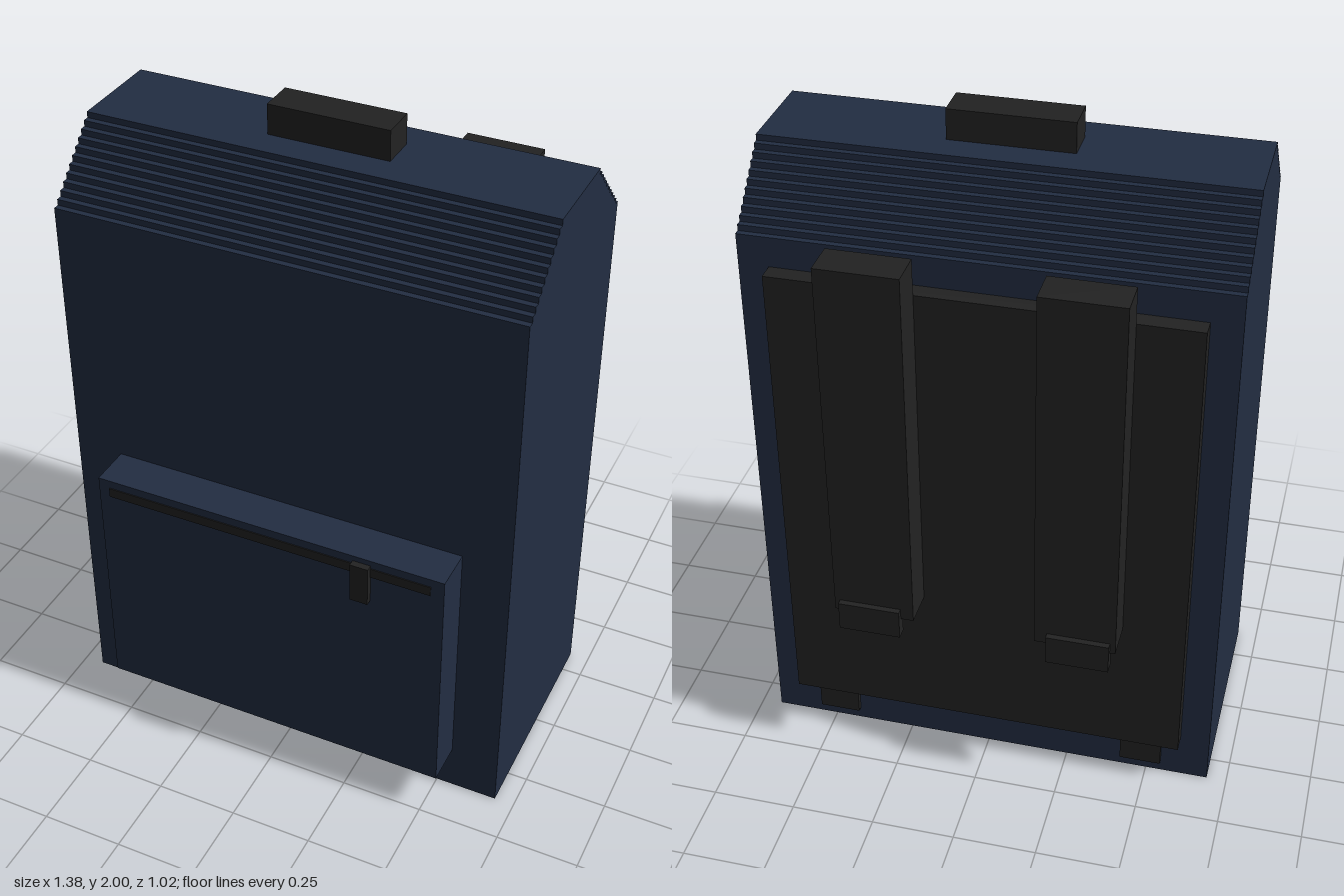
import * as THREE from 'three';

export function createModel() {
  const model = new THREE.Group();
  model.name = 'backpack';

  const fabric = new THREE.MeshStandardMaterial({ color: 0x222d42 });
  fabric.name = 'navy fabric';
  const trim = new THREE.MeshStandardMaterial({ color: 0x222222 });
  trim.name = 'black trim';

  // Box given by its limits on each axis
  function box(name, material, [x0, x1], [y0, y1], [z0, z1]) {
    const mesh = new THREE.Mesh(new THREE.BoxGeometry(x1 - x0, y1 - y0, z1 - z0), material);
    mesh.position.set((x0 + x1) / 2, (y0 + y1) / 2, (z0 + z1) / 2);
    mesh.name = name;
    model.add(mesh);
  }

  // Main body: side profile with stepped shoulders, extruded across the width
  const front = 0.363, back = -0.329, shoulder = 1.71, steps = 11, step = 0.2 / steps, halfWidth = 0.69;
  const frontEdge = [[front, 0], [front, shoulder]];
  for (let i = 1; i <= steps; i++) {
    frontEdge.push([front - i * step, shoulder + (i - 1) * step], [front - i * step, shoulder + i * step]);
  }
  const backEdge = frontEdge.map(([z, y]) => [front + back - z, y]).reverse();
  const profile = new THREE.Shape([...frontEdge, ...backEdge].map(([z, y]) => new THREE.Vector2(-z, y)));
  const bodyGeometry = new THREE.ExtrudeGeometry(profile, { depth: halfWidth * 2, bevelEnabled: false });
  bodyGeometry.translate(0, 0, -halfWidth);
  bodyGeometry.rotateY(Math.PI / 2); // profile -z axis turns to face the back
  const body = new THREE.Mesh(bodyGeometry, fabric);
  body.name = 'body';
  model.add(body);

  // Carry handle
  box('handle', trim, [-0.18, 0.18], [1.91, 2], [-0.037, 0.071]);

  // Front pocket with its zip
  box('frontPocket', fabric, [-0.545, 0.545], [0.147, 0.912], [front, 0.49]);
  box('zip', trim, [-0.51, 0.505], [0.856, 0.886], [0.487, 0.493]);
  box('zipPull', trim, [0.27, 0.325], [0.768, 0.895], [0.488, 0.51]);

  // Padded back panel
  box('backPanel', trim, [-0.602, 0.602], [0.147, 1.62], [-0.382, back]);

  // Shoulder straps, buckles and lower strap anchors, mirrored
  for (const [side, s] of [['left', 1], ['right', -1]]) {
    const span = (a, b) => (s > 0 ? [a, b] : [-b, -a]);
    box(side + 'Strap', trim, span(0.18, 0.418), [0.587, 1.73], [-0.492, -0.382]);
    box(side + 'Buckle', trim, span(0.218, 0.402), [0.53, 0.622], [-0.51, -0.474]);
    box(side + 'StrapAnchor', trim, span(0.42, 0.545), [0.04, 0.16], [-0.346, back]);
  }

  return model;
}
